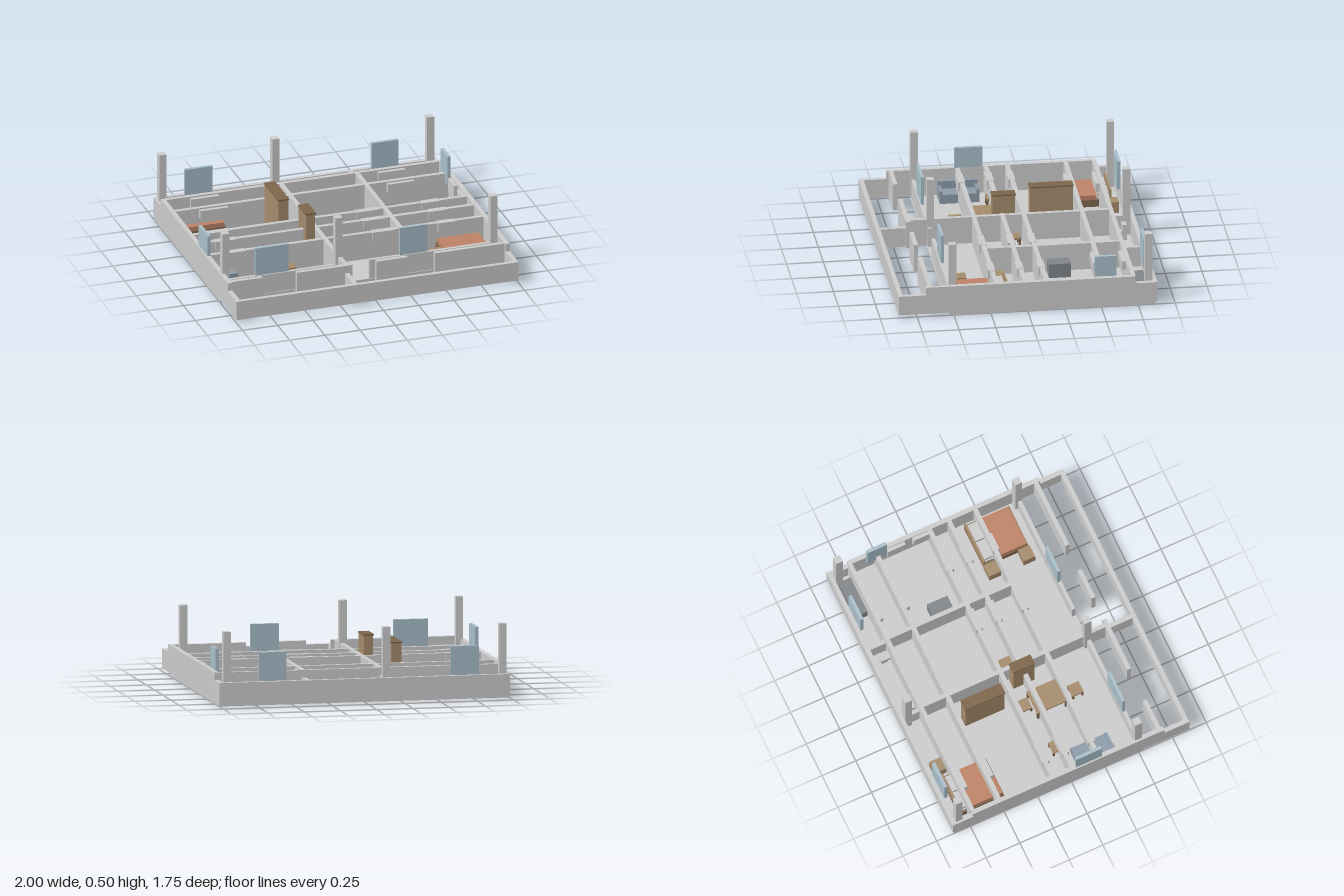
import * as THREE from 'three';

export function createModel() {
  const house = new THREE.Group();
  const mat = (color) => new THREE.MeshStandardMaterial({ color });
  const grey = mat(0xcccccc), wood = mat(0xa58c6c), darkWood = mat(0x7d654b), blanket = mat(0xbd8367);
  const glass = mat(0xa9bfcb), white = mat(0xe4e4e2), cloth = mat(0x8d9cab), slate = mat(0x82868a);

  // box given by its limits on each axis
  function box(name, x0, x1, y0, y1, z0, z1, material = grey, parent = house) {
    const m = new THREE.Mesh(new THREE.BoxGeometry(x1 - x0, y1 - y0, z1 - z0), material);
    m.position.set((x0 + x1) / 2, (y0 + y1) / 2, (z0 + z1) / 2);
    m.name = name;
    parent.add(m);
    return m;
  }
  function group(name) {
    const g = new THREE.Group();
    g.name = name;
    house.add(g);
    return g;
  }

  const F = 0.02, LOW = 0.155, HIGH = 0.21;
  box('floorSlab', -1, 1, 0, F, -0.87, 0.53);

  // outer ring of low walls, with taller side sections
  box('backWall', -1, 1, F, 0.16, -0.88, -0.85);
  box('frontWall', -1, 1, F, LOW, 0.845, 0.875);
  for (const s of [-1, 1]) {
    const a = s < 0 ? -1 : 0.968, b = a + 0.032;
    box('sideWall', a, b, F, HIGH, -0.73, 0.69);
    box('sideWallBack', a, b, F, 0.16, -0.85, -0.73);
    box('sideWallFront', a, b, F, LOW, 0.69, 0.845);
  }

  // walls running across the width
  for (const z of [-0.72, -0.525, -0.13, 0.015, 0.21])
    box('crossWall', -0.968, 0.968, F, HIGH, z - 0.015, z + 0.015);

  // front walls, interrupted by the doorway and window openings
  for (const [x0, x1] of [[-0.968, -0.11], [0.06, 0.968]])
    box('porchWall', x0, x1, F, LOW, 0.5, 0.525);
  for (const [x0, x1] of [[-0.968, -0.75], [-0.505, -0.11], [0.06, 0.28], [0.475, 0.968]])
    box('windowWall', x0, x1, F, HIGH, 0.645, 0.675);

  // walls running front to back
  box('middleWall', -0.165, -0.135, F, HIGH, -0.735, 0.675);
  box('middleWallBack', -0.165, -0.135, F, 0.16, -0.85, -0.735);
  box('middleWallFront', -0.165, -0.135, F, LOW, 0.675, 0.845);
  box('roomWall', 0.373, 0.403, F, HIGH, -0.735, 0.21);
  box('roomWallBack', 0.373, 0.403, F, 0.16, -0.85, -0.735);

  // thicker sills and lintels on the walls
  for (const z of [-0.69, -0.495])
    for (const [x0, x1] of [[-0.8, -0.6], [0.53, 0.72]])
      box('sill', x0, x1, 0.14, 0.2, z - 0.02, z + 0.012);
  for (const z of [-0.127, 0.018, 0.213])
    for (const [x0, x1] of [[-0.87, -0.72], [0.18, 0.335], [0.645, 0.77]])
      box('lintel', x0, x1, 0.15, HIGH + 0.002, z - 0.024, z + 0.024);
  for (const [z0, z1] of [[-0.45, -0.32], [-0.26, -0.14]])
    box('sideSill', 0.943, 0.97, 0.1, 0.2, z0, z1);

  // corner and middle posts
  for (const x of [-0.96, -0.158, 0.94])
    for (const z of [-0.825, 0.505])
      box('post', x - 0.025, x + 0.025, F, 0.5, z - 0.025, z + 0.025);

  // window panes
  const P0 = 0.15, P1 = 0.355;
  for (const [x0, x1] of [[-0.795, -0.6], [0.53, 0.72]])
    box('backWindow', x0, x1, P0, P1, -0.848, -0.825, glass);
  for (const [x0, x1] of [[-0.745, -0.51], [0.28, 0.475]])
    box('frontWindow', x0, x1, P0, P1, 0.497, 0.517, glass);
  box('rightWindow', -0.99, -0.968, P0, P1, 0.04, 0.23, glass);
  box('leftWindow', 0.943, 0.967, P0, P1, -0.605, -0.46, glass);

  // beds with frame, mattress, blanket and two pillows
  function bed(x0, x1, z0, z1) {
    const g = group('bed'), mid = (x0 + x1) / 2;
    box('bedFrame', x0, x1, F, 0.07, z0, z1, darkWood, g);
    box('headboard', x0, x1, F, 0.14, z0, z0 + 0.012, wood, g);
    box('mattress', x0 + 0.012, x1 - 0.012, 0.07, 0.09, z0 + 0.012, z1 - 0.012, white, g);
    box('blanket', x0 + 0.008, x1 - 0.008, 0.07, 0.1, z0 + 0.1, z1 - 0.008, blanket, g);
    for (const [a, b] of [[x0 + 0.02, mid - 0.008], [mid + 0.008, x1 - 0.02]])
      box('pillow', a, b, 0.09, 0.115, z0 + 0.018, z0 + 0.095, white, g);
  }
  bed(-0.915, -0.625, -0.79, -0.46);
  bed(0.63, 0.94, 0.11, 0.445);

  for (const [x, z] of [[-0.545, -0.78], [0.575, 0.15], [0.575, 0.405]])
    box('nightstand', x - 0.045, x + 0.045, F, 0.1, z - 0.043, z + 0.043, wood);

  // tall cupboards with a cap
  for (const [x0, x1, z0, z1] of [[-0.345, -0.275, -0.48, -0.19], [-0.24, -0.175, -0.075, 0.08]]) {
    const g = group('cupboard');
    box('cupboardBody', x0, x1, F, 0.335, z0, z1, wood, g);
    box('cupboardTop', x0 - 0.004, x1 + 0.004, 0.335, 0.345, z0 - 0.004, z1 + 0.004, darkWood, g);
  }

  // table and stools share a top on four legs
  function legged(name, x0, x1, z0, z1, top, thick) {
    const g = group(name), l = 0.014;
    box(name + 'Top', x0, x1, top - thick, top, z0, z1, wood, g);
    for (const x of [x0, x1 - l])
      for (const z of [z0, z1 - l])
        box(name + 'Leg', x, x + l, F, top - thick, z, z + l, darkWood, g);
  }
  legged('table', -0.505, -0.33, -0.02, 0.2, 0.13, 0.015);
  for (const [x, z] of [[-0.395, -0.068], [-0.75, 0.005], [-0.437, 0.293], [-0.075, -0.052]])
    legged('stool', x - 0.042, x + 0.042, z - 0.042, z + 0.042, 0.085, 0.015);

  // sofa
  const sofa = group('sofa');
  box('sofaSeat', -0.945, -0.81, F, 0.085, 0.08, 0.35, cloth, sofa);
  box('sofaBack', -0.945, -0.915, F, 0.14, 0.08, 0.35, cloth, sofa);
  for (const z of [0.08, 0.33])
    box('sofaArm', -0.945, -0.815, F, 0.11, z, z + 0.02, cloth, sofa);

  // bathtub, desk, toilet and basin
  box('lowChest', 0.65, 0.92, F, 0.1, -0.83, -0.74, slate);
  box('desk', 0.42, 0.52, F, 0.12, -0.36, -0.21, slate);
  const toilet = group('toilet');
  box('toiletTank', -0.105, -0.045, F, 0.13, -0.815, -0.785, white, toilet);
  box('toiletBowl', -0.098, -0.052, F, 0.08, -0.785, -0.735, white, toilet);
  const basin = group('basin');
  box('basinTop', 0.28, 0.335, 0.09, 0.12, -0.815, -0.74, white, basin);
  box('basinStand', 0.295, 0.32, F, 0.09, -0.8, -0.76, white, basin);

  return house;
}
